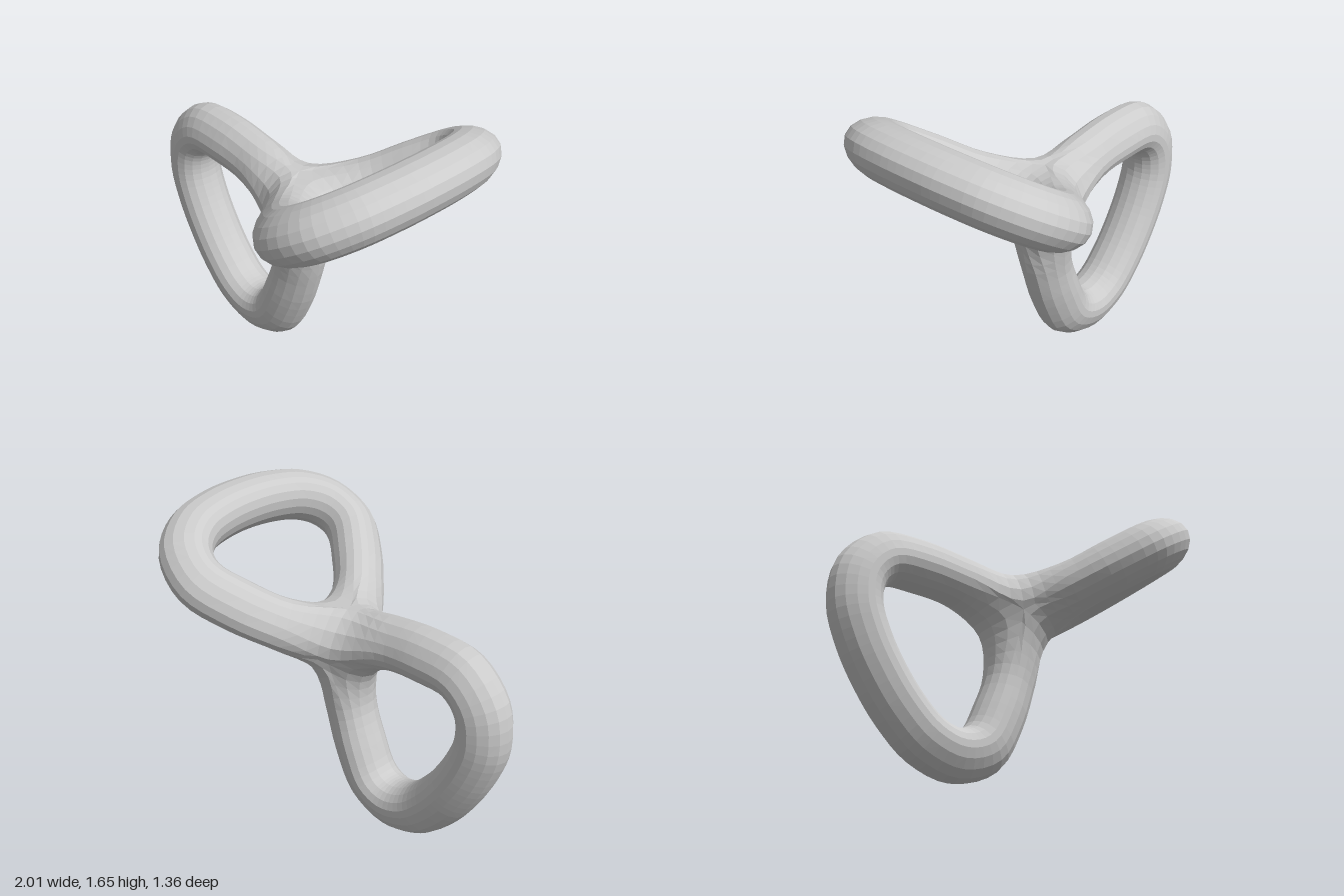
import * as THREE from 'three';

// Local frame (u, v, w): u runs along the long axis of the twisted figure eight.
const V3 = (u, v, w) => new THREE.Vector3(u, v, w);
const EDGE = 6;            // segments per side of the three-sided arm root
const AROUND = EDGE * 3;   // sides of the tube
const STEPS = 4;           // rings between two stations

// Symmetries of the figure
const same = p => p.clone();
const mirror = p => V3(p.x, p.y, -p.z);
const turn = p => V3(-p.x, p.z, p.y);
const turnBack = p => V3(-p.x, -p.z, -p.y);

// Centreline of half a loop (u, w), from the junction to the far tip
const PATH = [[0, 0], [0.23, 0.264], [0.425, 0.42], [0.61, 0.518], [0.765, 0.485],
  [0.872, 0.36], [0.92, 0.185], [0.933, 0]];

// Ring of the tube at station i: rounded towards the hole, more pointed outside
function stationRing(i) {
  const [u, w] = PATH[i];
  const a = PATH[i - 1];
  const b = PATH[i + 1] || [a[0], -a[1]];
  const tangent = new THREE.Vector2(b[0] - a[0], b[1] - a[1]).normalize();
  return Array.from({ length: AROUND }, (_, j) => {
    const angle = (j / EDGE - 0.5) * Math.PI * 2 / 3;
    const c = Math.cos(angle);
    const inward = c > 0 ? 0.12 * c : -0.16 * Math.pow(-c, 1.25);
    return V3(u + tangent.y * inward, 0.143 * Math.sin(angle), w - tangent.x * inward);
  });
}

// Three-sided root of an arm, shared with the three neighbouring arms
function rootRing() {
  const corners = [V3(0.083, -0.19, 0), V3(0.083, 0.19, 0), V3(-0.083, 0, 0.19)];
  return Array.from({ length: AROUND }, (_, j) => {
    const side = Math.floor(j / EDGE);
    const t = (j % EDGE) / EDGE;
    const p = corners[side].clone().lerp(corners[(side + 1) % 3], t);
    const bulge = 4 * t * (1 - t);
    if (side === 0) p.x += 0.157 * bulge;
    else p.multiplyScalar(1 + 0.3 * bulge + 0.4 * bulge * bulge);
    return p;
  });
}

// Rings of one arm; lengthwise rails run smoothly on into the neighbouring arms
function armRings() {
  const stations = [rootRing()];
  for (let i = 1; i < PATH.length; i++) stations.push(stationRing(i));
  const first = stations[1];
  const last = stations.length - 1;
  const rails = first.map((_, j) => {
    const before = [];
    if (j <= EDGE) before.push(mirror(first[j]));
    if (j >= EDGE && j <= 2 * EDGE) before.push(turn(first[3 * EDGE - j]));
    if (j >= 2 * EDGE || j === 0) before.push(turnBack(first[(5 * EDGE - (j || AROUND)) % AROUND]));
    const start = V3(0, 0, 0);
    before.forEach(p => start.addScaledVector(p, 1 / before.length));
    return new THREE.CatmullRomCurve3(
      [start, ...stations.map(ring => ring[j]), mirror(stations[last - 1][j])]);
  });
  const rings = [];
  for (let k = 0; k <= last * STEPS; k++) {
    rings.push(rails.map(rail => rail.getPoint((1 + k / STEPS) / (last + 2))));
  }
  return rings;
}

// One loop made of two arms, each a mapped copy of the same rings
function loopGeometry(rings, arms) {
  const positions = [];
  const indices = [];
  for (const [map, flipped] of arms) {
    const offset = positions.length / 3;
    for (const ring of rings) for (const p of ring) positions.push(...map(p).toArray());
    for (let i = 0; i < rings.length - 1; i++) {
      for (let j = 0; j < AROUND; j++) {
        const a = offset + i * AROUND + j;
        const b = offset + i * AROUND + (j + 1) % AROUND;
        const c = b + AROUND;
        const d = a + AROUND;
        indices.push(...(flipped ? [a, c, b, a, d, c] : [a, b, c, a, c, d]));
      }
    }
  }
  const geometry = new THREE.BufferGeometry();
  geometry.setAttribute('position', new THREE.Float32BufferAttribute(positions, 3));
  geometry.setIndex(indices);
  geometry.computeVertexNormals();
  return geometry;
}

export function createModel() {
  const group = new THREE.Group();
  group.name = 'twistedFigureEight';
  const material = new THREE.MeshStandardMaterial({ color: 0xcccccc, flatShading: true });
  const rings = armRings();

  // Flat-lying loop at the upper end, upright loop at the lower end
  const loops = {
    upperLoop: [[same, false], [mirror, true]],
    lowerLoop: [[turn, false], [p => turn(mirror(p)), true]],
  };
  for (const [name, arms] of Object.entries(loops)) {
    const mesh = new THREE.Mesh(loopGeometry(rings, arms), material);
    mesh.name = name;
    mesh.position.set(0.088, 1.002, 0);
    mesh.rotation.z = Math.atan2(2, 3);
    group.add(mesh);
  }
  return group;
}
